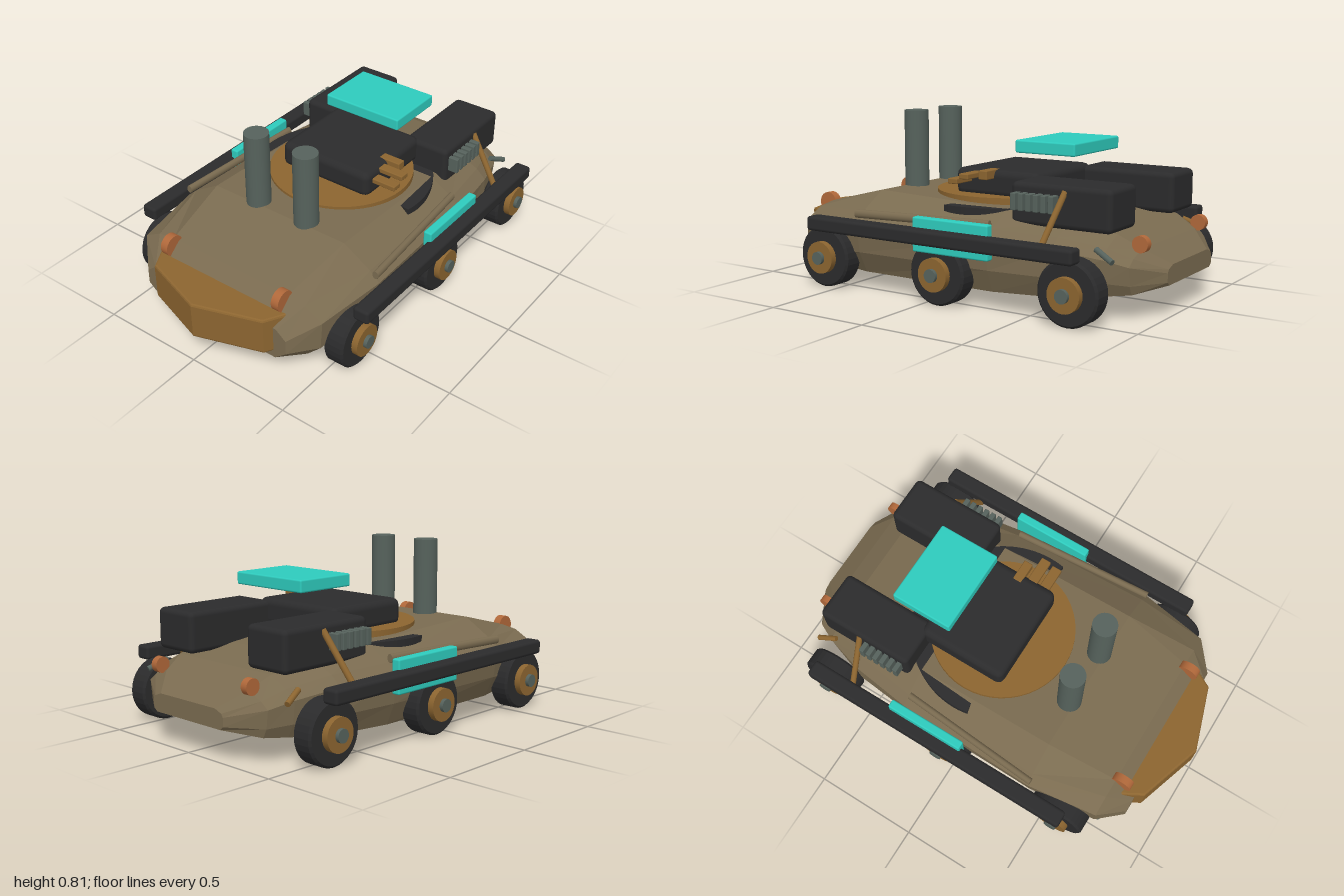
import * as THREE from 'three';
import { RoundedBoxGeometry } from 'three/addons/geometries/RoundedBoxGeometry.js';

const paint = (name, color) => Object.assign(new THREE.MeshStandardMaterial({ color }), { name });

export function createModel() {
  const model = new THREE.Group();
  model.name = 'armouredVehicle';
  const hullTan = paint('hullTan', 0x7a6b50);
  const ochre = paint('ochre', 0x8c6530);
  const dark = paint('darkRubber', 0x2b2b2c);
  const teal = paint('teal', 0x2ecbbd);
  const steel = paint('steel', 0x56625c);
  const rust = paint('rustOrange', 0xb0683a);

  const add = (name, geo, mat, x = 0, y = 0, z = 0) => {
    const m = new THREE.Mesh(geo, mat);
    m.name = name;
    m.position.set(x, y, z);
    model.add(m);
    return m;
  };
  // Rounded box given by its limits on each axis
  const block = (name, mat, [x0, x1], [y0, y1], [z0, z1], r = 0.01) =>
    add(name, new RoundedBoxGeometry(x1 - x0, y1 - y0, z1 - z0, 2, r), mat,
      (x0 + x1) / 2, (y0 + y1) / 2, (z0 + z1) / 2);
  // Cylinder lying along x
  const disc = (name, mat, r, w, x, y, z) =>
    add(name, new THREE.CylinderGeometry(r, r, w, 28).rotateZ(Math.PI / 2), mat, x, y, z);
  // Round rod between two points
  const rod = (name, mat, a, b, r) => {
    const p = new THREE.Vector3(...a), d = new THREE.Vector3(...b).sub(p);
    const m = add(name, new THREE.CylinderGeometry(r, r, d.length(), 10), mat);
    m.position.copy(p).addScaledVector(d, 0.5);
    m.quaternion.setFromUnitVectors(new THREE.Vector3(0, 1, 0), d.normalize());
    return m;
  };

  // Faceted hull: half cross-sections from bottom to top, front to back
  const sections = [
    [0.85, [[0.34, 0.1], [0.4, 0.15], [0.4, 0.22], [0.35, 0.26], [0.26, 0.27]]],
    [0.74, [[0.43, 0.09], [0.5, 0.16], [0.51, 0.3], [0.42, 0.35], [0.33, 0.365]]],
    [0.4, [[0.49, 0.08], [0.54, 0.18], [0.56, 0.32], [0.51, 0.365], [0.37, 0.45]]],
    [-0.3, [[0.49, 0.08], [0.53, 0.18], [0.54, 0.31], [0.49, 0.355], [0.37, 0.425]]],
    [-0.6, [[0.46, 0.09], [0.5, 0.18], [0.5, 0.3], [0.45, 0.345], [0.34, 0.395]]],
    [-0.8, [[0.4, 0.11], [0.43, 0.17], [0.44, 0.27], [0.39, 0.31], [0.3, 0.355]]],
    [-0.9, [[0.36, 0.12], [0.38, 0.16], [0.39, 0.24], [0.35, 0.27], [0.27, 0.3]]],
    [-1.0, [[0.21, 0.145], [0.23, 0.16], [0.23, 0.2], [0.22, 0.215], [0.18, 0.23]]],
  ];
  const pos = [], idx = [], n = 10;
  for (const [z, half] of sections) {
    for (const [x, y] of half) pos.push(x, y, z);
    for (const [x, y] of [...half].reverse()) pos.push(-x, y, z);
  }
  for (let s = 0; s < sections.length - 1; s++) {
    for (let i = 0; i < n; i++) {
      const a = s * n + i, b = s * n + (i + 1) % n;
      idx.push(a, a + n, b + n, a, b + n, b);
    }
  }
  const last = (sections.length - 1) * n;
  for (let i = 1; i < n - 1; i++) idx.push(0, i, i + 1, last, last + i + 1, last + i);
  let hull = new THREE.BufferGeometry();
  hull.setAttribute('position', new THREE.Float32BufferAttribute(pos, 3));
  hull.setIndex(idx);
  hull = hull.toNonIndexed();
  hull.computeVertexNormals();
  add('hull', hull, hullTan);

  // Pointed front ram
  const outline = [[-0.385, 0.74], [-0.305, 0.88], [0, 0.98], [0.305, 0.88], [0.385, 0.74]]
    .map(([x, z]) => new THREE.Vector2(x, -z));
  const ram = new THREE.ExtrudeGeometry(new THREE.Shape(outline), {
    depth: 0.16, bevelThickness: 0.01, bevelSize: 0.01, bevelSegments: 2,
  }).rotateX(-Math.PI / 2);
  add('frontRam', ram, ochre, 0, 0.143, 0);

  // Turret ring, rear ring guard and turret
  add('turretRing', new THREE.CylinderGeometry(0.345, 0.345, 0.05, 48), ochre, 0, 0.432, -0.08);
  const guard = new THREE.Shape();
  guard.absarc(0, 0, 0.44, -0.17, Math.PI + 0.17, false);
  guard.absarc(0, 0, 0.33, Math.PI + 0.17, -0.17, true);
  add('ringGuard', new THREE.ExtrudeGeometry(guard, { depth: 0.05, bevelEnabled: false, curveSegments: 32 })
    .rotateX(-Math.PI / 2), dark, 0, 0.375, -0.08);
  block('turret', dark, [-0.25, 0.25], [0.44, 0.57], [-0.38, 0.065], 0.035);

  // Small gun cluster on the turret's left side
  block('gunMount', ochre, [0.2, 0.31], [0.53, 0.572], [-0.15, -0.105], 0.005);
  block('gunUpper', ochre, [0.24, 0.37], [0.535, 0.56], [-0.09, -0.04], 0.005);
  block('gunLower', ochre, [0.24, 0.37], [0.51, 0.535], [-0.03, 0.02], 0.005);

  // Floating roof panel
  block('roofPanel', teal, [-0.208, 0.208], [0.65, 0.708], [-0.54, -0.235], 0.008);

  for (const s of [1, -1]) {
    const span = (a, b) => (s > 0 ? [a, b] : [-b, -a]);
    // Wheels with hubs and axle caps
    for (const z of [0.573, -0.075, -0.725]) {
      const tyre = [[0.07, -0.05], [0.132, -0.05], [0.142, -0.04], [0.142, 0.04], [0.132, 0.05], [0.07, 0.05], [0, 0.05]]
        .map(([r, y]) => new THREE.Vector2(r, y));
      tyre.unshift(new THREE.Vector2(0, -0.05));
      const wheel = new THREE.LatheGeometry(tyre, 32).toNonIndexed().rotateZ(Math.PI / 2);
      wheel.computeVertexNormals();
      add('tyre', wheel, dark, s * 0.543, 0.148, z);
      disc('hub', ochre, 0.075, 0.05, s * 0.598, 0.148, z);
      disc('axleCap', steel, 0.03, 0.05, s * 0.615, 0.148, z);
    }
    // Side rail, side panel and deck strip
    block('sideRail', dark, span(0.575, 0.655), [0.278, 0.345], [-0.78, 0.62], 0.015);
    block('sidePanel', teal, span(0.555, 0.597), [0.235, 0.39], [-0.345, 0.05], 0.008);
    const strip = rod('deckStrip', hullTan, [s * 0.545, 0.362, 0.41], [s * 0.495, 0.372, -0.29], 0.02);
    strip.scale.x = 0.8;

    // Rear stowage box with cooling slats
    block('rearBox', dark, span(0.18, 0.417), [0.37, 0.557], [-0.83, -0.345], 0.025);
    for (let i = 0; i < 6; i++) {
      const z = -0.385 - i * 0.037;
      block('coolingSlat', steel, span(0.41, 0.465), [0.44, 0.515], [z - 0.012, z + 0.012], 0.004);
    }
    // Braces from the rear box to the rail, and low rear rods
    rod('brace', ochre, [s * 0.41, 0.53, -0.61], [s * 0.58, 0.28, -0.575], 0.014);
    rod('rearRod', s > 0 ? steel : ochre, [s * 0.46, 0.27, -0.86], [s * 0.43, 0.31, -0.77], 0.013);

    // Upright stacks
    add('stack', new THREE.CylinderGeometry(0.058, 0.058, 0.4, 32), steel, s * 0.138, 0.611, 0.37);
    // Lamps
    disc('frontLamp', rust, 0.05, 0.038, s * 0.318, 0.352, 0.768);
    disc('rearLamp', rust, 0.036, 0.034, s * 0.297, 0.325, -0.91);
  }
  // Round fitting low on the nose
  add('noseFitting', new THREE.SphereGeometry(0.022, 16, 12), steel, -0.47, 0.14, 0.74);

  return model;
}
